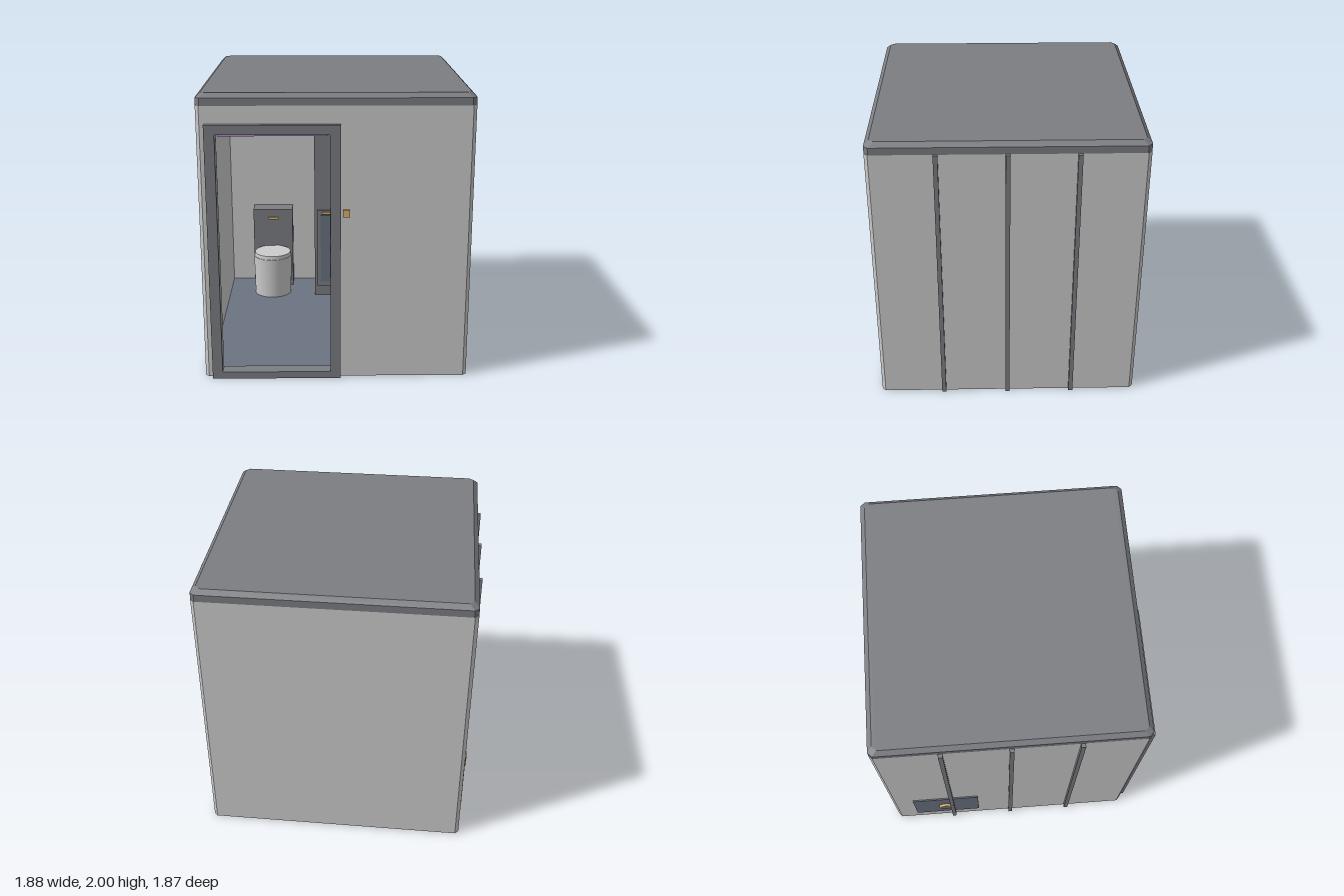
import * as THREE from 'three';

const mat = (color) => new THREE.MeshStandardMaterial({ color });
const LIGHT = mat(0xcccccc), DARK = mat(0x7b7d82), SLATE = mat(0x6b7382);
const GOLD = mat(0xd9b36a), VIOLET = mat(0xb58be0);

const HALF = 0.915;   // half of the square footprint
const ZC = -0.0175;   // footprint centre in z
const WALL = 0.04;

export function createModel() {
  const model = new THREE.Group();

  const add = (name, geometry, material, parent = model) => {
    const mesh = new THREE.Mesh(geometry, material);
    mesh.name = name;
    parent.add(mesh);
    return mesh;
  };
  // Box given by its minimum and maximum on each axis
  const box = (name, [x0, x1], [y0, y1], [z0, z1], material, parent) => {
    const mesh = add(name, new THREE.BoxGeometry(x1 - x0, y1 - y0, z1 - z0), material, parent);
    mesh.position.set((x0 + x1) / 2, (y0 + y1) / 2, (z0 + z1) / 2);
    return mesh;
  };
  const group = (name) => {
    const g = new THREE.Group();
    g.name = name;
    model.add(g);
    return g;
  };
  // Square with cut corners, listed counter-clockwise
  const cutSquare = (h, c) => [
    [-h + c, -h], [h - c, -h], [h, -h + c], [h, h - c],
    [h - c, h], [-h + c, h], [-h, h - c], [-h, -h + c],
  ].map(([x, y]) => new THREE.Vector2(x, y));
  // Footprint raised from y0 to y1
  const raise = (shape, y0, y1) => {
    const g = new THREE.ExtrudeGeometry(shape, { depth: y1 - y0, bevelEnabled: false });
    return g.rotateX(-Math.PI / 2).translate(0, y0, ZC);
  };

  // Walls: open beside the doorway, closed ring above it
  const DOOR = { left: -0.79, right: -0.04, bottom: 0.05, top: 1.735 };
  const inner = HALF - WALL;
  const outline = cutSquare(HALF, 0.025);
  const open = [
    [DOOR.right, -HALF], ...outline.slice(1).map((p) => [p.x, p.y]), [outline[0].x, -HALF],
    [DOOR.left, -HALF], [DOOR.left, -inner], [-inner, -inner], [-inner, inner],
    [inner, inner], [inner, -inner], [DOOR.right, -inner],
  ].map(([x, y]) => new THREE.Vector2(x, y));
  const walls = group('walls');
  add('lowerWalls', raise(new THREE.Shape(open), 0, DOOR.top), LIGHT, walls);
  const ring = new THREE.Shape(outline);
  ring.holes.push(new THREE.Path(cutSquare(inner, 0.001).reverse()));
  add('upperWalls', raise(ring, DOOR.top, 1.92), LIGHT, walls);

  // Floor
  box('floor', [-inner, inner], [0, 0.04], [ZC - inner, ZC + inner], SLATE);

  // Roof: straight band with a chamfered cap
  const roof = group('roof');
  const roofShape = new THREE.Shape(cutSquare(HALF, 0.03));
  add('roofBand', raise(roofShape, 1.92, 1.97), DARK, roof);
  const cap = raise(roofShape, 1.97, 2);
  const p = cap.attributes.position;
  for (let i = 0; i < p.count; i++) {
    if (p.getY(i) < 1.99) continue;
    const s = 0.883 / HALF;
    p.setXYZ(i, p.getX(i) * s, 2, ZC + (p.getZ(i) - ZC) * s);
  }
  cap.computeVertexNormals();
  add('roofCap', cap, DARK, roof);

  // Vertical ribs on both sides
  for (const side of [-1, 1]) {
    for (const z of [0.445, -0.015, -0.475]) {
      const rib = add('sideRib', new THREE.BoxGeometry(0.03, 1.92, 0.03), DARK);
      rib.position.set(side * 0.925, 0.96, z);
    }
  }

  // Door frame, sill and light strip
  const frame = group('doorFrame');
  const frameZ = [0.84, 0.935];
  box('frameJamb', [-0.86, DOOR.left], [0, 1.8], frameZ, DARK, frame);
  box('frameJamb', [DOOR.right, 0.03], [0, 1.8], frameZ, DARK, frame);
  box('frameHead', [DOOR.left, DOOR.right], [DOOR.top, 1.8], frameZ, DARK, frame);
  box('sill', [DOOR.left, DOOR.right], [0, DOOR.bottom], frameZ, DARK, frame);
  box('lightStrip', [-0.775, -0.055], [1.72, 1.735], [0.88, 0.9], VIOLET, frame);

  // Latch plate beside the door
  box('latchPlate', [0.045, 0.092], [1.17, 1.22], [0.89, 0.915], GOLD);

  // Toilet against the back wall
  const toilet = group('toilet');
  box('toiletTank', [-0.68, -0.35], [0.04, 0.72], [-0.89, -0.74], DARK, toilet);
  box('flushPlate', [-0.555, -0.47], [0.638, 0.655], [-0.74, -0.725], GOLD, toilet);
  const bowl = add('bowl', new THREE.CylinderGeometry(0.157, 0.15, 0.33, 40), LIGHT, toilet);
  bowl.position.set(-0.515, 0.205, -0.6);
  const seat = add('seat', new THREE.CylinderGeometry(0.148, 0.152, 0.03, 40), LIGHT, toilet);
  seat.position.set(-0.515, 0.385, -0.6);

  // Tall cabinet with an inset door
  const cabinet = group('cabinet');
  box('cabinetBody', [-0.16, 0.45], [0.04, 1.76], [-0.89, -0.5], DARK, cabinet);
  box('cabinetDoor', [-0.14, 0.43], [0.13, 0.79], [-0.5, -0.485], DARK, cabinet);
  box('cabinetPanel', [-0.11, 0.4], [0.17, 0.75], [-0.485, -0.475], SLATE, cabinet);
  box('cabinetHandle', [-0.1, 0.39], [0.762, 0.778], [-0.485, -0.46], GOLD, cabinet);

  // Service hatch on the side wall with a round fitting
  const hatch = group('serviceHatch');
  box('hatchPanel', [-0.925, -0.9], [0.15, 0.58], [-0.77, -0.27], SLATE, hatch);
  const hub = add('hatchHub', new THREE.CylinderGeometry(0.05, 0.05, 0.02, 32), SLATE, hatch);
  hub.rotation.z = Math.PI / 2;
  hub.position.set(-0.934, 0.375, -0.52);
  const collar = add('hatchRing', new THREE.TorusGeometry(0.05, 0.01, 12, 40), GOLD, hatch);
  collar.rotation.y = Math.PI / 2;
  collar.position.set(-0.935, 0.375, -0.52);

  return model;
}
